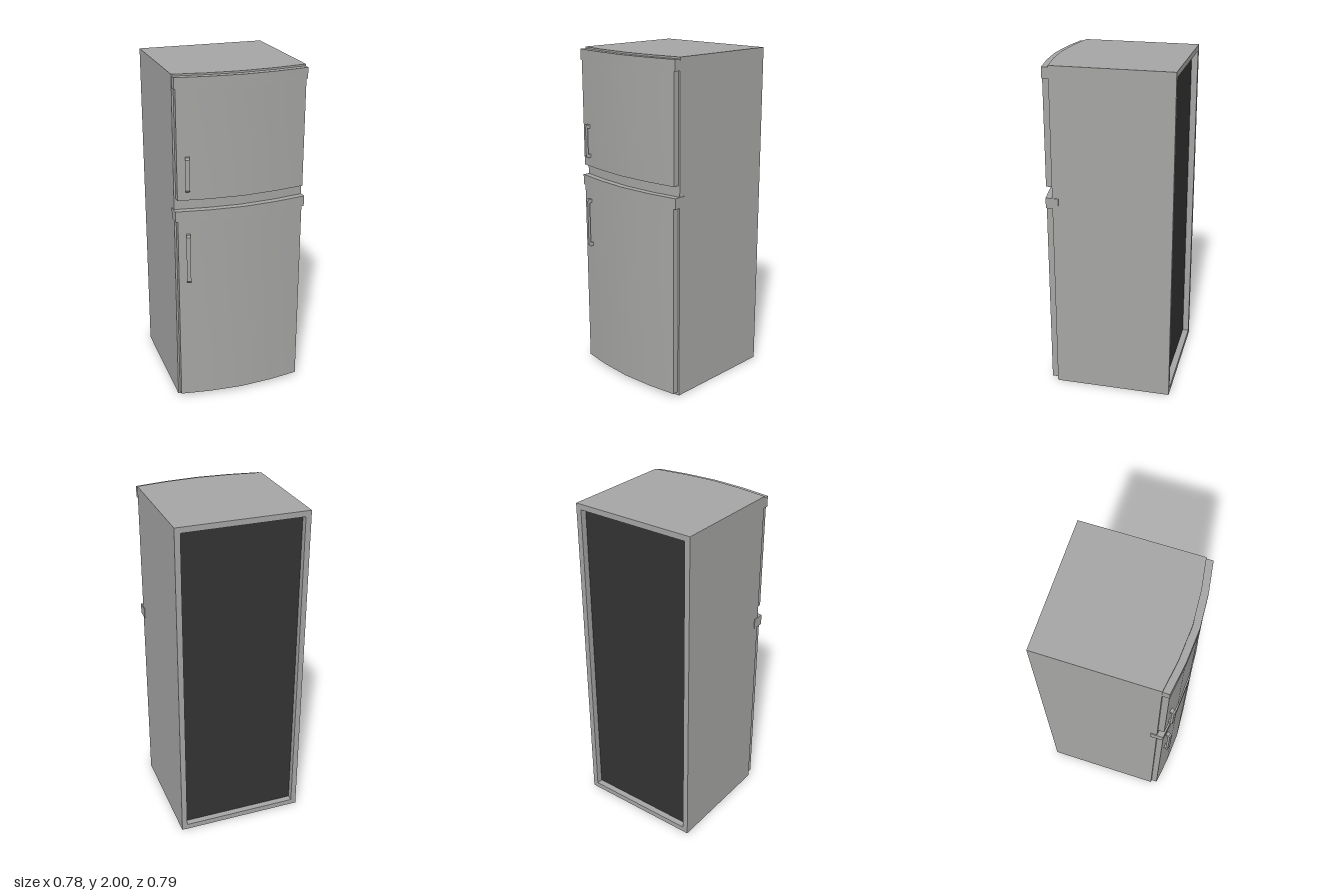
import * as THREE from 'three';
import { toCreasedNormals } from 'three/addons/utils/BufferGeometryUtils.js';

const grey = new THREE.MeshStandardMaterial({ color: 0xa5a5a4 });
const dark = new THREE.MeshStandardMaterial({ color: 0x333333 });

const toPoints = (list) => list.map(([x, y]) => new THREE.Vector2(x, y));

// Bowed front line: depth of the bow at a given x, relative to its centre
const bow = (x) => {
  const a = Math.abs(x);
  return a < 0.2 ? -0.065 * a : -0.013 - 0.15 * (a - 0.2);
};

// Points along the bow from -halfWidth to +halfWidth, centre at z
const bowLine = (halfWidth, z) =>
  toPoints([-halfWidth, -0.2, 0, 0.2, halfWidth].map((x) => [x, -(z + bow(x))]));

function mesh(name, geometry, material = grey) {
  const m = new THREE.Mesh(geometry, material);
  m.name = name;
  return m;
}

const extrude = (shape, depth) => new THREE.ExtrudeGeometry(shape, { depth, bevelEnabled: false });

// Plan outline raised from y0 to y1
function slab(name, outline, y0, y1) {
  const g = extrude(new THREE.Shape(outline), y1 - y0);
  g.rotateX(-Math.PI / 2).translate(0, y0, 0);
  return mesh(name, toCreasedNormals(g, 0.4));
}

// Curved panel following the bowed front
const panel = (name, halfWidth, zBack, zFront, y0, y1) =>
  slab(name, [...bowLine(halfWidth, zFront), ...bowLine(halfWidth, zBack).reverse()], y0, y1);

// Handle: bracket profile with chamfered ends, turned towards the bowed door's slope
function handle(name, y0, y1) {
  const h = (y1 - y0) / 2;
  const profile = new THREE.Shape(toPoints([
    [-0.004, -h], [0.018, -h], [0.028, -h + 0.012], [0.028, h - 0.012], [0.018, h], [-0.004, h],
    [-0.004, h - 0.022], [0.014, h - 0.022], [0.014, -h + 0.022], [-0.004, -h + 0.022],
  ]));
  const g = extrude(profile, 0.024).translate(0, 0, -0.012).rotateY(-Math.PI / 2);
  const m = mesh(name, g);
  m.position.set(-0.319, (y0 + y1) / 2, 0.358);
  m.rotation.y = -0.28;
  return m;
}

export function createModel() {
  const model = new THREE.Group();
  model.name = 'refrigerator';

  // Cabinet body with bowed front
  const half = 0.387, back = -0.395, recess = -0.355, front = 0.353;
  model.add(slab('cabinet', [
    ...toPoints([[-half, -recess]]), ...bowLine(half, front), ...toPoints([[half, -recess]]),
  ], 0, 2));

  // Rim around the recessed back
  const rim = 0.033, inner = half - rim;
  const frame = new THREE.Shape(toPoints([[-half, 0], [half, 0], [half, 2], [-half, 2]]));
  frame.holes.push(new THREE.Path(toPoints([[-inner, rim], [-inner, 2 - rim], [inner, 2 - rim], [inner, rim]])));
  model.add(mesh('backRim', extrude(frame, recess - back).translate(0, 0, back)));

  // Dark back panel
  const backPanel = mesh('backPanel', new THREE.PlaneGeometry(2 * inner, 2 - 2 * rim), dark);
  backPanel.rotation.y = Math.PI;
  backPanel.position.set(0, 1, recess - 0.002);
  model.add(backPanel);

  // Doors, each with a slightly proud band along the top
  for (const [name, y0, y1, bandHalf] of [['freezerDoor', 1.295, 1.99, 0.385], ['fridgeDoor', 0.02, 1.23, 0.391]]) {
    const door = new THREE.Group();
    door.name = name;
    door.add(panel('doorPanel', 0.377, front, 0.389, y0, y1 - 0.063));
    door.add(panel('topBand', bandHalf, front, 0.392, y1 - 0.063, y1));
    model.add(door);
  }

  // Lower band wraps a little way back along the cabinet sides
  for (const s of [-1, 1]) {
    const bandReturn = new THREE.BoxGeometry(0.006, 0.063, 0.04).translate(s * 0.388, 1.1985, 0.295);
    model.add(mesh('bandReturn', bandReturn));
  }

  model.add(handle('freezerHandle', 1.35, 1.55), handle('fridgeHandle', 0.79, 1.09));
  return model;
}
